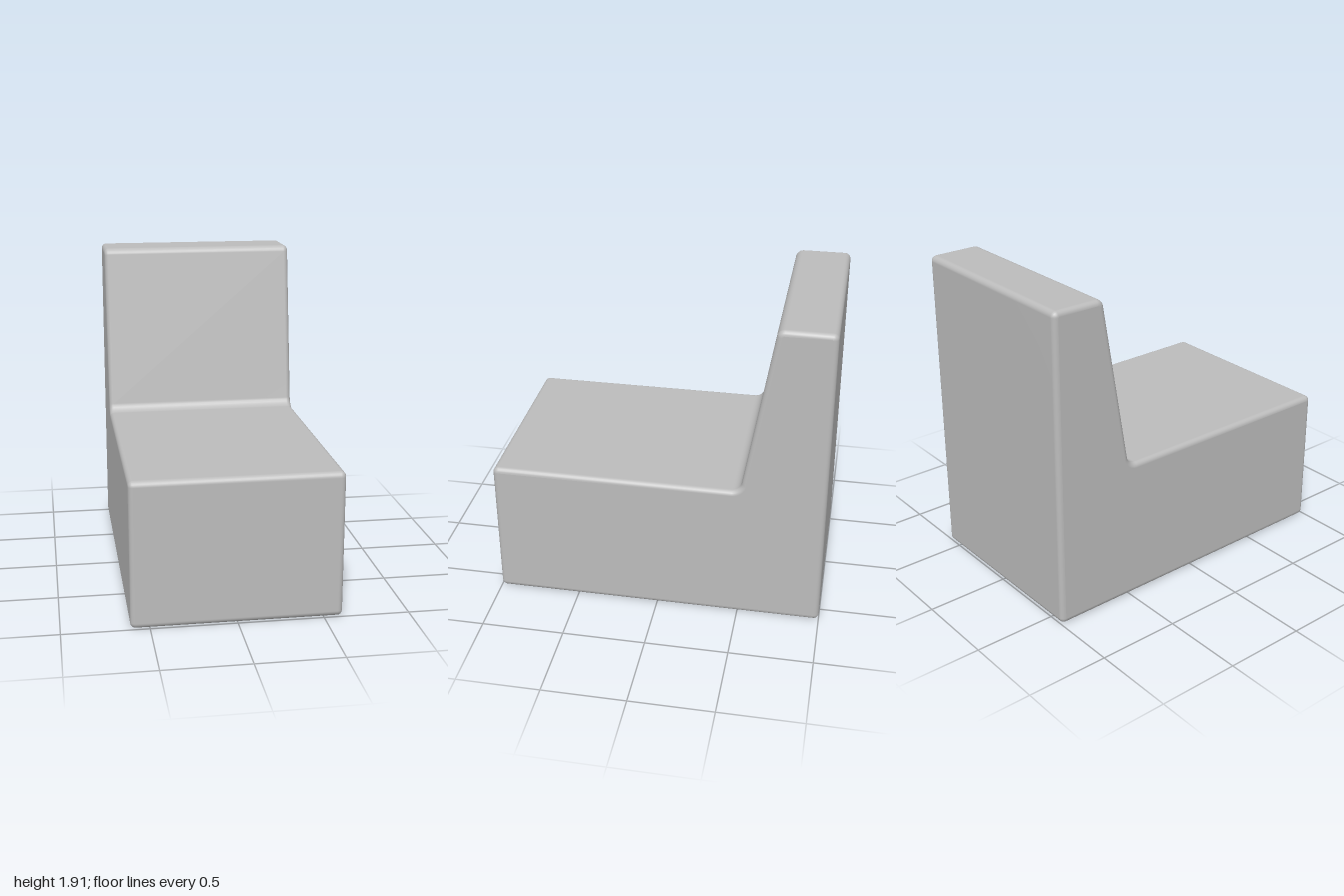
import * as THREE from 'three';
import { mergeVertices } from 'three/addons/utils/BufferGeometryUtils.js';

const HALF_WIDTH = 0.61;
const BEVEL = 0.03;

// Side profile corners as [z, y, corner radius]
const PROFILE = [
  [1, 0, 0.034],
  [1, 0.868, 0.034],
  [-0.495, 0.868, 0.05],
  [-0.672, 1.915, 0.038],
  [-1, 1.915, 0.034],
  [-1, 0, 0.034],
];

// Closed outline with every corner rounded
function roundedShape(corners) {
  const shape = new THREE.Shape();
  const n = corners.length;
  const point = (i) => new THREE.Vector2(...corners[(i + n) % n].slice(0, 2));
  corners.forEach(([, , r], i) => {
    const c = point(i);
    const toward = (other, d) => c.clone().add(other.sub(c).setLength(d));
    const a = toward(point(i - 1), r);
    const b = toward(point(i + 1), r);
    const ca = a.clone().lerp(c, 0.55);
    const cb = b.clone().lerp(c, 0.55);
    if (i === 0) shape.moveTo(a.x, a.y);
    else shape.lineTo(a.x, a.y);
    shape.bezierCurveTo(ca.x, ca.y, cb.x, cb.y, b.x, b.y);
  });
  shape.closePath();
  return shape;
}

export function createModel() {
  const group = new THREE.Group();
  group.name = 'armlessSofaSeat';

  const upholstery = new THREE.MeshStandardMaterial({ color: 0xbcbcbc });
  upholstery.name = 'grey upholstery';

  // Seat block and sloping backrest as one softly bevelled body
  const depth = 2 * (HALF_WIDTH - BEVEL);
  let body = new THREE.ExtrudeGeometry(roundedShape(PROFILE), {
    depth,
    curveSegments: 6,
    bevelEnabled: true,
    bevelThickness: BEVEL,
    bevelSize: BEVEL,
    bevelOffset: -BEVEL,
    bevelSegments: 5,
  });
  body.translate(0, 0, -depth / 2);
  body.rotateY(-Math.PI / 2);

  // Weld so the rounded edges shade smoothly
  body.deleteAttribute('normal');
  body.deleteAttribute('uv');
  body.clearGroups();
  body = mergeVertices(body, 1e-5);
  body.computeVertexNormals();

  const mesh = new THREE.Mesh(body, upholstery);
  mesh.name = 'seatAndBackrest';
  group.add(mesh);
  return group;
}
